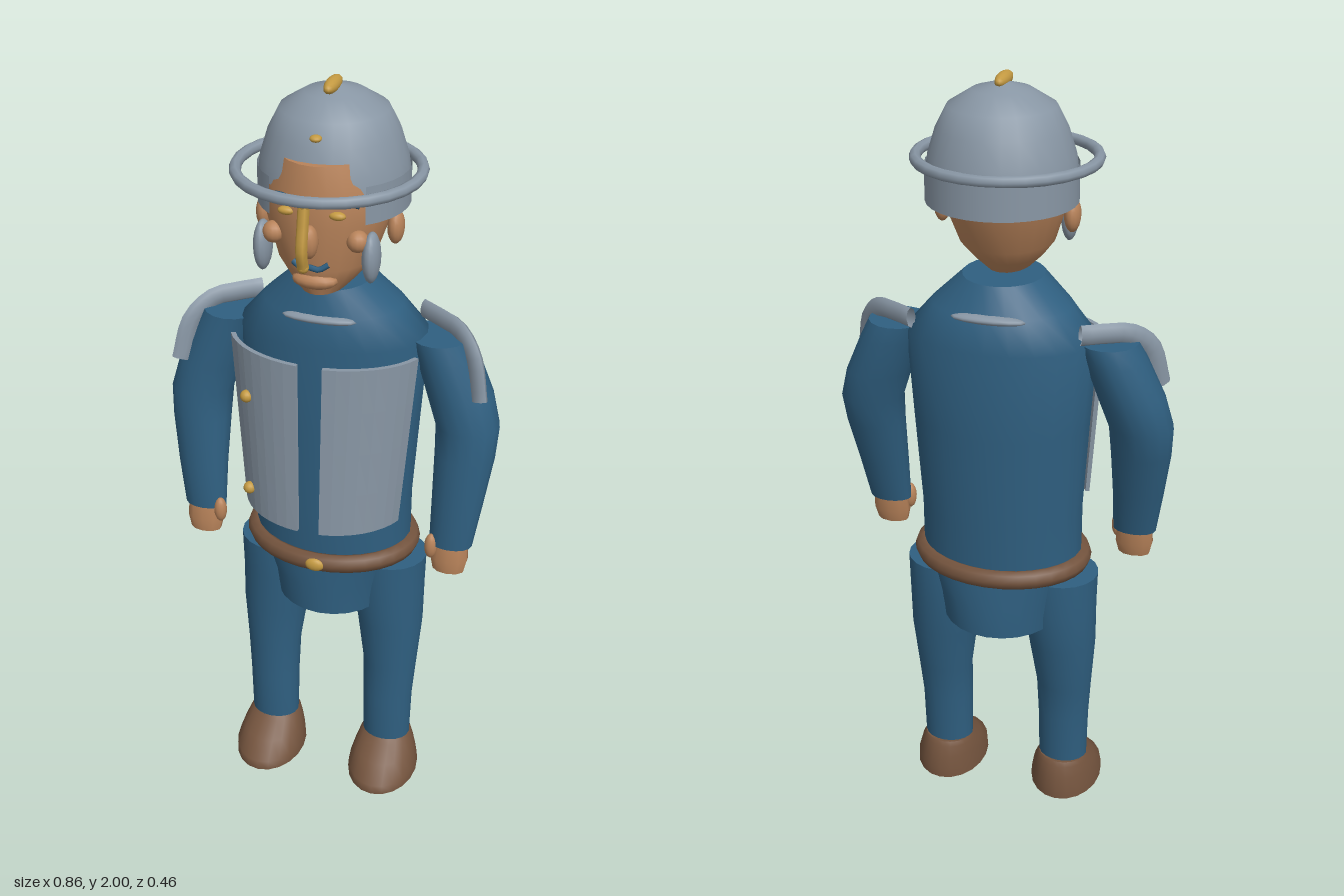
import * as THREE from 'three';

const mat = (name, color, side = THREE.FrontSide) => {
  const m = new THREE.MeshStandardMaterial({ color, side });
  m.name = name;
  return m;
};

// Smooth skin over elliptical sections [x, y, z, rx, rz], listed bottom to top, with flat caps.
function loft(sections, n = 20) {
  const pos = [], idx = [];
  const ring = ([x, y, z, rx, rz]) => {
    for (let i = 0; i < n; i++) {
      const a = (i / n) * Math.PI * 2;
      pos.push(x + rx * Math.sin(a), y, z + rz * Math.cos(a));
    }
  };
  sections.forEach(ring);
  for (let k = 0; k < sections.length - 1; k++)
    for (let i = 0; i < n; i++) {
      const a = k * n + i, b = k * n + ((i + 1) % n);
      idx.push(a, b, a + n, b, b + n, a + n);
    }
  for (const top of [false, true]) {
    const s = top ? sections[sections.length - 1] : sections[0];
    const base = pos.length / 3;
    ring(s);
    pos.push(s[0], s[1], s[2]);
    for (let i = 0; i < n; i++) {
      const a = base + i, b = base + ((i + 1) % n);
      idx.push(base + n, ...(top ? [a, b] : [b, a]));
    }
  }
  const g = new THREE.BufferGeometry();
  g.setAttribute('position', new THREE.Float32BufferAttribute(pos, 3));
  g.setIndex(idx);
  g.computeVertexNormals();
  return g;
}

export function createModel() {
  const cloth = mat('blue cloth', 0x2f5f80);
  const steel = mat('grey steel', 0x8896a4, THREE.DoubleSide);
  const skin = mat('skin', 0xb8835a);
  const leather = mat('brown leather', 0x74543e);
  const brass = mat('brass', 0xc49a42);

  const model = new THREE.Group();
  model.name = 'guard';
  const add = (name, geo, material, x = 0, y = 0, z = 0) => {
    const m = new THREE.Mesh(geo, material);
    m.name = name;
    m.position.set(x, y, z);
    model.add(m);
    return m;
  };
  const ball = (name, material, x, y, z, rx, ry = rx, rz = rx) => {
    const m = add(name, new THREE.SphereGeometry(1, 14, 10), material, x, y, z);
    m.scale.set(rx, ry, rz);
    return m;
  };
  const tube = (name, pts, r, material, n = 10) =>
    add(name, new THREE.TubeGeometry(
      new THREE.CatmullRomCurve3(pts.map((p) => new THREE.Vector3(...p))), n, r, 6), material);

  // Body
  add('torso', loft([
    [0, 0.74, -0.045, 0.21, 0.15], [0, 0.9, -0.045, 0.21, 0.155], [0, 1.15, -0.05, 0.225, 0.16],
    [0, 1.38, -0.05, 0.24, 0.163], [0, 1.455, -0.042, 0.175, 0.14], [0, 1.525, -0.03, 0.1, 0.108],
  ], 24), cloth);
  add('pelvis', loft([
    [0, 0.58, -0.05, 0.155, 0.155], [0, 0.66, -0.05, 0.17, 0.155], [0, 0.76, -0.045, 0.205, 0.15],
  ], 24), cloth);
  const belt = add('belt', new THREE.TorusGeometry(1, 0.12, 8, 32).rotateX(Math.PI / 2), leather, 0, 0.762, -0.043);
  belt.scale.set(0.21, 0.22, 0.163);
  ball('buckle', brass, 0, 0.762, 0.133, 0.026, 0.019, 0.013);
  ball('frontCollarTrim', steel, 0, 1.455, 0.085, 0.092, 0.012, 0.022);
  ball('backCollarTrim', steel, 0, 1.455, -0.17, 0.092, 0.012, 0.022);

  // Head and face
  add('head', loft([
    [0, 1.53, 0.03, 0.055, 0.085], [0, 1.56, 0.02, 0.085, 0.105], [0, 1.6, 0.008, 0.115, 0.132],
    [0, 1.71, -0.01, 0.152, 0.16], [0, 1.78, -0.02, 0.15, 0.168], [0, 1.85, -0.02, 0.12, 0.154],
  ], 24), skin);
  ball('nose', skin, 0, 1.68, 0.155, 0.02, 0.04, 0.025);
  ball('chin', skin, 0, 1.57, 0.115, 0.055, 0.022, 0.03);
  tube('moustache', [[-0.042, 1.625, 0.145], [-0.02, 1.613, 0.152], [0, 1.618, 0.155],
    [0.02, 1.613, 0.152], [0.042, 1.625, 0.145]], 0.007, cloth);
  for (const s of [1, -1]) {
    const side = s > 0 ? 'left' : 'right';
    ball(side + 'Ear', skin, s * 0.16, 1.672, -0.005, 0.02, 0.042, 0.03);
    ball(side + 'Cheek', skin, s * 0.1, 1.675, 0.11, 0.026);
    ball(side + 'CheekGuard', steel, s * 0.13, 1.635, 0.1, 0.021, 0.062, 0.038);
    ball(side + 'Eye', brass, s * 0.06, 1.742, 0.137, 0.02, 0.01, 0.012);
    tube(side + 'Eyebrow', [[s * 0.03, 1.775, 0.16], [s * 0.07, 1.785, 0.155], [s * 0.11, 1.772, 0.135]], 0.008, cloth);
  }

  // Helmet
  const profile = [[0.178, 1.78], [0.172, 1.82], [0.153, 1.88], [0.127, 1.93], [0.07, 1.965], [0, 1.985]];
  add('helmetDome', new THREE.LatheGeometry(profile.map((p) => new THREE.Vector2(...p)), 24), steel, 0, 0, -0.045);
  add('neckGuard', new THREE.CylinderGeometry(0.18, 0.181, 0.09, 24, 1, true, 0.68, Math.PI * 2 - 1.36),
    steel, 0, 1.755, -0.045);
  add('helmetBrim', new THREE.TorusGeometry(0.216, 0.014, 8, 28).rotateX(Math.PI / 2), steel, 0, 1.8, 0);
  ball('helmetCrest', brass, 0, 1.983, -0.03, 0.017, 0.017, 0.052);
  ball('helmetStud', brass, 0, 1.903, 0.103, 0.014, 0.008, 0.014);
  tube('noseGuard', [[0, 1.785, 0.194], [0, 1.74, 0.204], [0, 1.68, 0.216], [0, 1.64, 0.206]], 0.014, brass);
  ball('noseGuardTip', brass, 0, 1.64, 0.205, 0.014);
  ball('noseGuardStud', brass, 0, 1.785, 0.194, 0.015);

  // Chest plates: thick curved shells wrapped around the front of the torso
  for (const s of [1, -1]) {
    const arc = (grow, rev) => Array.from({ length: 9 }, (_, i) => {
      const t = (rev ? 8 - i : i) / 8, a = 0.13 + t * 1.1;
      return new THREE.Vector2(s * (0.24 + grow) * Math.sin(a), -(0.17 + grow) * Math.cos(a) + 0.01);
    });
    const shape = new THREE.Shape([...arc(0.012, false), ...arc(0, true)]);
    const g = new THREE.ExtrudeGeometry(shape, { depth: 0.465, bevelEnabled: false, steps: 4 });
    g.rotateX(-Math.PI / 2);
    const p = g.attributes.position;
    for (let i = 0; i < p.count; i++) { // taper the flank and push the lower edge forward
      const t = 1 - p.getY(i) / 0.465;
      p.setX(i, p.getX(i) * (1 - 0.14 * t));
      p.setZ(i, p.getZ(i) + 0.018 * t);
    }
    g.computeVertexNormals();
    add(s > 0 ? 'leftChestPlate' : 'rightChestPlate', g, steel, 0, 0.9, 0);
  }
  ball('upperButton', brass, -0.175, 1.235, 0.125, 0.016);
  ball('lowerButton', brass, -0.175, 0.965, 0.125, 0.016);

  // Limbs
  for (const s of [1, -1]) {
    const side = s > 0 ? 'left' : 'right';
    const limb = (name, sections, material, n) =>
      add(side + name, loft(sections.map(([x, ...r]) => [s * x, ...r]), n), material);
    limb('Arm', [
      [0.335, 0.83, 0.03, 0.056, 0.036], [0.343, 0.95, 0.012, 0.066, 0.05], [0.35, 1.08, -0.015, 0.077, 0.066],
      [0.35, 1.16, -0.03, 0.081, 0.076], [0.325, 1.24, -0.04, 0.084, 0.08], [0.285, 1.34, -0.05, 0.078, 0.08],
      [0.265, 1.385, -0.05, 0.075, 0.076],
    ], cloth, 16);
    limb('Hand', [
      [0.335, 0.755, 0.04, 0.042, 0.026], [0.335, 0.79, 0.036, 0.05, 0.032], [0.335, 0.84, 0.03, 0.047, 0.032],
    ], skin, 10);
    ball(side + 'Thumb', skin, s * 0.288, 0.825, 0.05, 0.017, 0.036, 0.018);
    limb('Leg', [
      [0.168, 0.09, -0.017, 0.067, 0.056], [0.168, 0.25, -0.02, 0.07, 0.06], [0.17, 0.36, -0.03, 0.075, 0.066],
      [0.165, 0.5, -0.04, 0.09, 0.083], [0.155, 0.62, -0.045, 0.1, 0.093], [0.155, 0.72, -0.045, 0.102, 0.095],
    ], cloth, 20);
    limb('Shoe', [
      [0.17, 0, 0.023, 0.098, 0.133], [0.17, 0.028, 0.023, 0.096, 0.131], [0.169, 0.065, 0.002, 0.085, 0.102],
      [0.168, 0.095, -0.018, 0.073, 0.072], [0.168, 0.107, -0.022, 0.066, 0.06],
    ], leather, 20);

    // Shoulder guard: a flat strip bent from the back over the shoulder and down the arm
    const path = [[0.21, 1.415, -0.115], [0.27, 1.412, -0.075], [0.315, 1.405, -0.045], [0.36, 1.36, -0.005], [0.385, 1.255, 0.022]];
    const curve = new THREE.CatmullRomCurve3(path.map(([x, y, z]) => new THREE.Vector3(s * x, y, z)));
    const guard = new THREE.TubeGeometry(curve, 12, 0.026, 8);
    const p = guard.attributes.position, c = new THREE.Vector3(), v = new THREE.Vector3();
    const across = new THREE.Vector3(s * 0.6, 0, 0.8);
    for (let i = 0; i < p.count; i++) { // flatten each ring across the strip
      curve.getPointAt(Math.floor(i / 9) / 12, c);
      v.fromBufferAttribute(p, i).sub(c);
      v.addScaledVector(across.set(-s * 0.6, 0, 0.8), -0.45 * v.dot(across)).add(c);
      p.setXYZ(i, v.x, v.y, v.z);
    }
    guard.computeVertexNormals();
    add(side + 'ShoulderGuard', guard, steel);
  }
  return model;
}
